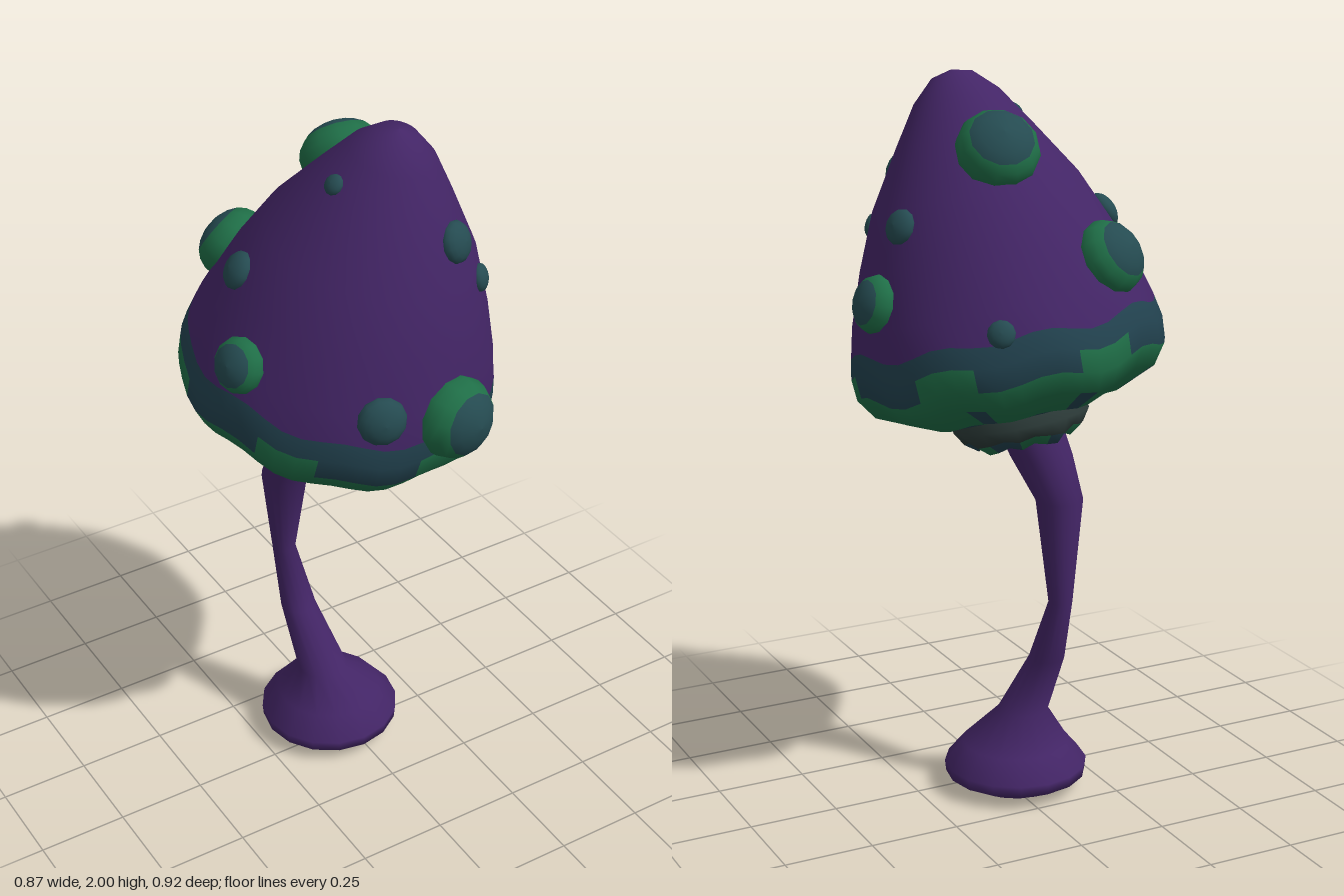
import * as THREE from 'three';

const material = (name, color) => {
  const m = new THREE.MeshStandardMaterial({ color });
  m.name = name;
  return m;
};

// Skin of rings listed from top to bottom: [radius, y, centreX, centreZ, waveHeight].
// pick(row, column) gives the material index of each quad.
function loft(name, rows, seg, materials, pick = () => 0) {
  const pos = [];
  const buckets = materials.map(() => []);
  rows.forEach(([r, y, cx = 0, cz = 0, wave = 0]) => {
    for (let j = 0; j < seg; j++) {
      const a = (j / seg) * Math.PI * 2;
      const w = wave * (Math.sin(a * 9) + 0.5 * Math.sin(a * 5 + 1));
      pos.push(cx + r * Math.sin(a), y + w, cz + r * Math.cos(a));
    }
  });
  for (let i = 0; i < rows.length - 1; i++) {
    for (let j = 0; j < seg; j++) {
      const k = (j + 1) % seg;
      const a = i * seg + j, b = a + seg, c = i * seg + k, d = c + seg;
      buckets[pick(i, j)].push(a, b, d, a, d, c);
    }
  }
  const geo = new THREE.BufferGeometry();
  geo.setAttribute('position', new THREE.Float32BufferAttribute(pos, 3));
  geo.setIndex(buckets.flat());
  let start = 0;
  buckets.forEach((b, i) => {
    geo.addGroup(start, b.length, i);
    start += b.length;
  });
  geo.computeVertexNormals();
  const mesh = new THREE.Mesh(geo, materials);
  mesh.name = name;
  return mesh;
}

export function createModel() {
  const purple = material('purple skin', 0x432566);
  const teal = material('teal wart', 0x254b51);
  const slate = material('slate teal band', 0x22424f);
  const green = material('green rim', 0x1f6e47);
  const dark = material('dark collar', 0x2a3836);
  const model = new THREE.Group();
  model.name = 'mushroom';

  // Bent stem with a flared, hollow foot
  model.add(loft('stem', [
    [0.09, 1.08, -0.04, -0.1], [0.085, 0.98, -0.07, -0.125], [0.065, 0.86, -0.105, -0.165],
    [0.033, 0.58, -0.092, -0.2], [0.05, 0.4, -0.078, -0.147], [0.071, 0.22, -0.05, -0.06],
    [0.15, 0.13, -0.027, -0.06], [0.2, 0.07, -0.027, -0.06], [0.197, 0.04, -0.027, -0.06],
    [0.12, 0, -0.027, -0.06], [0.1, 0.03, -0.027, -0.06], [0, 0.05, -0.027, -0.06],
  ], 16, [purple]));

  // Tilted frame for everything on the head
  const head = new THREE.Group();
  head.name = 'head';
  head.position.set(-0.01, 1.245, -0.045);
  const up = new THREE.Vector3(0, 1, 0);
  head.quaternion.setFromUnitVectors(up, new THREE.Vector3(0.12, 1, 0.21).normalize());
  model.add(head);

  // Cap: purple cone, slate band, green scalloped rim and blotched underside
  const capRows = [
    [0, 0.775], [0.055, 0.762], [0.115, 0.705], [0.185, 0.6], [0.28, 0.45], [0.345, 0.3],
    [0.395, 0.16], [0.415, 0.085, 0, 0, 0.012], [0.426, 0.03, 0, 0, 0.012],
    [0.422, -0.03, 0, 0, 0.012], [0.385, -0.085, 0, 0, 0.01], [0.28, -0.135, 0, 0, 0.005],
    [0.2, -0.145], [0.13, -0.14],
  ];
  const capColor = (i, j) => {
    if (i < 7) return 0;
    if (i === 7) return 1;
    if (i === 8) return j % 8 < 3 ? 2 : 1;
    if (i === 10) return j % 6 < 1 ? 1 : 2;
    if (i === 11) return (j + 3) % 6 < 2 ? 1 : 2;
    return 2;
  };
  head.add(loft('cap', capRows, 48, [purple, slate, green], capColor));

  // Frilled collar where the stem meets the cap
  head.add(loft('collar', [
    [0.15, -0.13], [0.188, -0.175], [0.165, -0.21, 0, 0, 0.006],
    [0.13, -0.235, 0, 0, 0.008], [0.08, -0.2],
  ], 24, [dark, slate, green], (i, j) => (i < 2 ? 0 : j % 4 < 2 ? 1 : 2)));

  // Warts sit on the cap surface: x, y, z, radius, height ratio, green base
  const radiusAt = (t) => {
    const i = capRows.findIndex((row) => row[1] <= t);
    const [r0, t0] = capRows[i - 1], [r1, t1] = capRows[i];
    return r0 + ((r1 - r0) * (t - t0)) / (t1 - t0);
  };
  const warts = [
    [0.1, 1.28, 0.37, 0.112, 0.85, true],
    [-0.37, 1.44, 0.08, 0.075, 0.7, true],
    [0.39, 1.43, -0.06, 0.078, 0.7, true],
    [0.07, 1.82, -0.13, 0.112, 0.75, true],
    [-0.17, 1.55, -0.31, 0.102, 0.75, true],
    [-0.115, 1.34, 0.35, 0.066, 0.6, false],
    [0.165, 1.72, 0.25, 0.056, 0.6, false],
    [0.265, 1.575, 0.23, 0.038, 0.6, false],
    [0.31, 1.63, -0.07, 0.048, 0.6, false],
    [-0.28, 1.62, -0.06, 0.052, 0.6, false],
    [-0.08, 1.88, 0.09, 0.028, 0.6, false],
    [0.18, 1.4, -0.38, 0.037, 0.6, false],
  ];
  const toLocal = head.quaternion.clone().invert();
  warts.forEach(([x, y, z, size, ratio, ringed]) => {
    const p = new THREE.Vector3(x, y, z).sub(head.position).applyQuaternion(toLocal);
    const angle = Math.atan2(p.x, p.z);
    const slope = (radiusAt(p.y - 0.05) - radiusAt(p.y + 0.05)) / 0.1;
    const r = radiusAt(p.y);
    const rows = [];
    for (let i = 0; i <= 7; i++) {
      const a = (i / 7) * Math.PI * 0.65;
      rows.push([size * Math.sin(a), size * ratio * Math.cos(a)]);
    }
    const wart = loft('wart', rows, 12, [teal, green], (i) => (ringed && i > 2 ? 1 : 0));
    wart.position.set(r * Math.sin(angle), p.y, r * Math.cos(angle));
    const normal = new THREE.Vector3(Math.sin(angle), slope, Math.cos(angle)).normalize();
    wart.quaternion.setFromUnitVectors(up, normal);
    head.add(wart);
  });

  return model;
}
